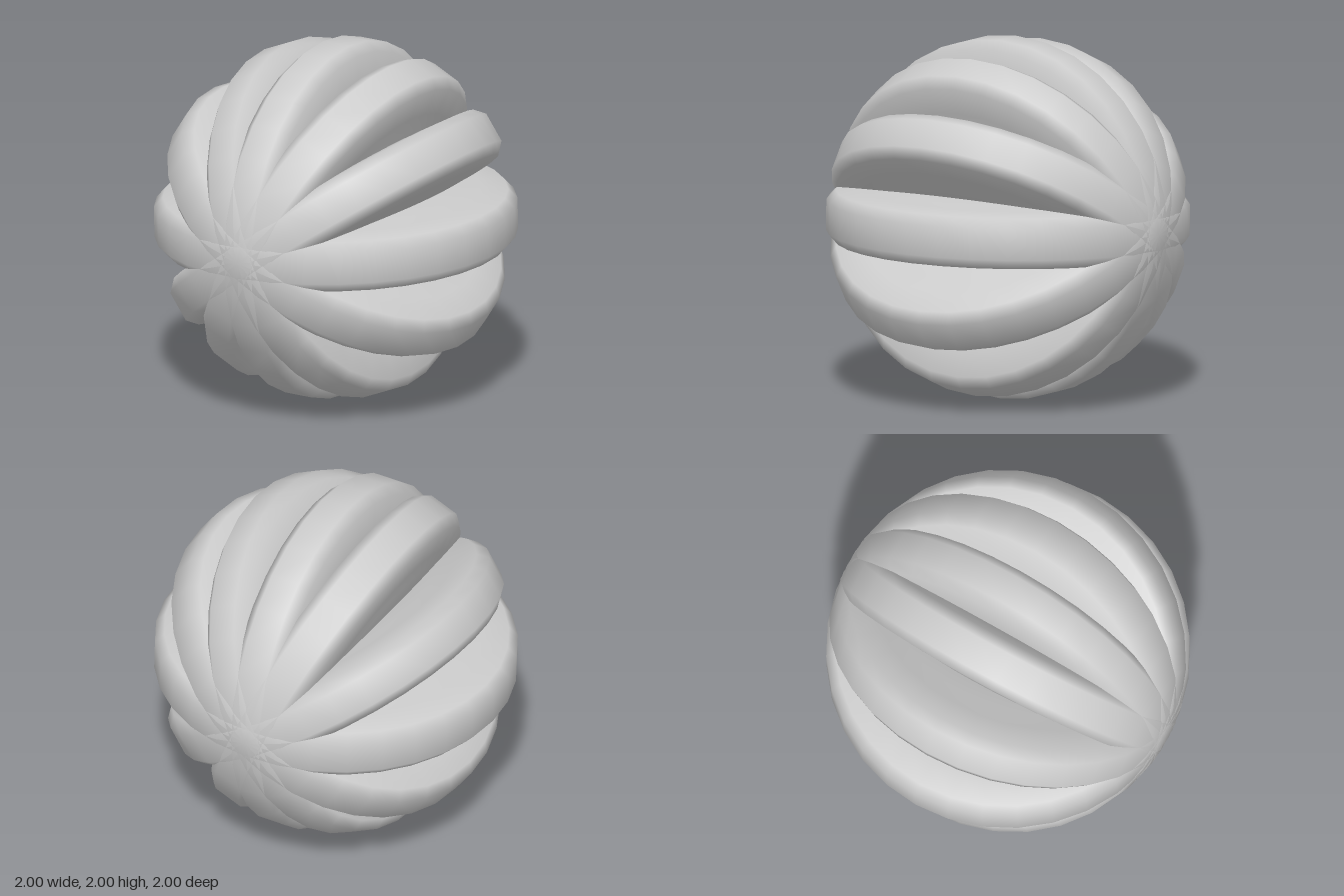
import * as THREE from 'three';

export function createModel() {
  const model = new THREE.Group();
  model.name = 'ribbedBall';
  const material = new THREE.MeshStandardMaterial({ color: 0xcccccc });

  // Half of the rib cross-section: [radius, half thickness], from rim inwards
  const half = [[1, 0.085], [0.95, 0.14], [0.8, 0.157], [0.7, 0.165], [0.58, 0.182], [0.4, 0.182]];
  const profile = [
    ...half.slice().reverse().map(([r, w]) => new THREE.Vector2(r, -w)),
    ...half.map(([r, w]) => new THREE.Vector2(r, w)),
  ];
  profile.push(profile[0].clone()); // close the ring on its inner side
  const ribGeometry = new THREE.LatheGeometry(profile, 32);

  // Ring-shaped ribs fanned around the z axis, all meeting at the two poles
  [1.5, 35.8, 64, 90, 113, 147.3].forEach((degrees, i) => {
    const rib = new THREE.Mesh(ribGeometry, material);
    rib.name = `rib${i + 1}`;
    rib.rotation.z = THREE.MathUtils.degToRad(degrees);
    rib.position.y = 1;
    model.add(rib);
  });
  return model;
}
